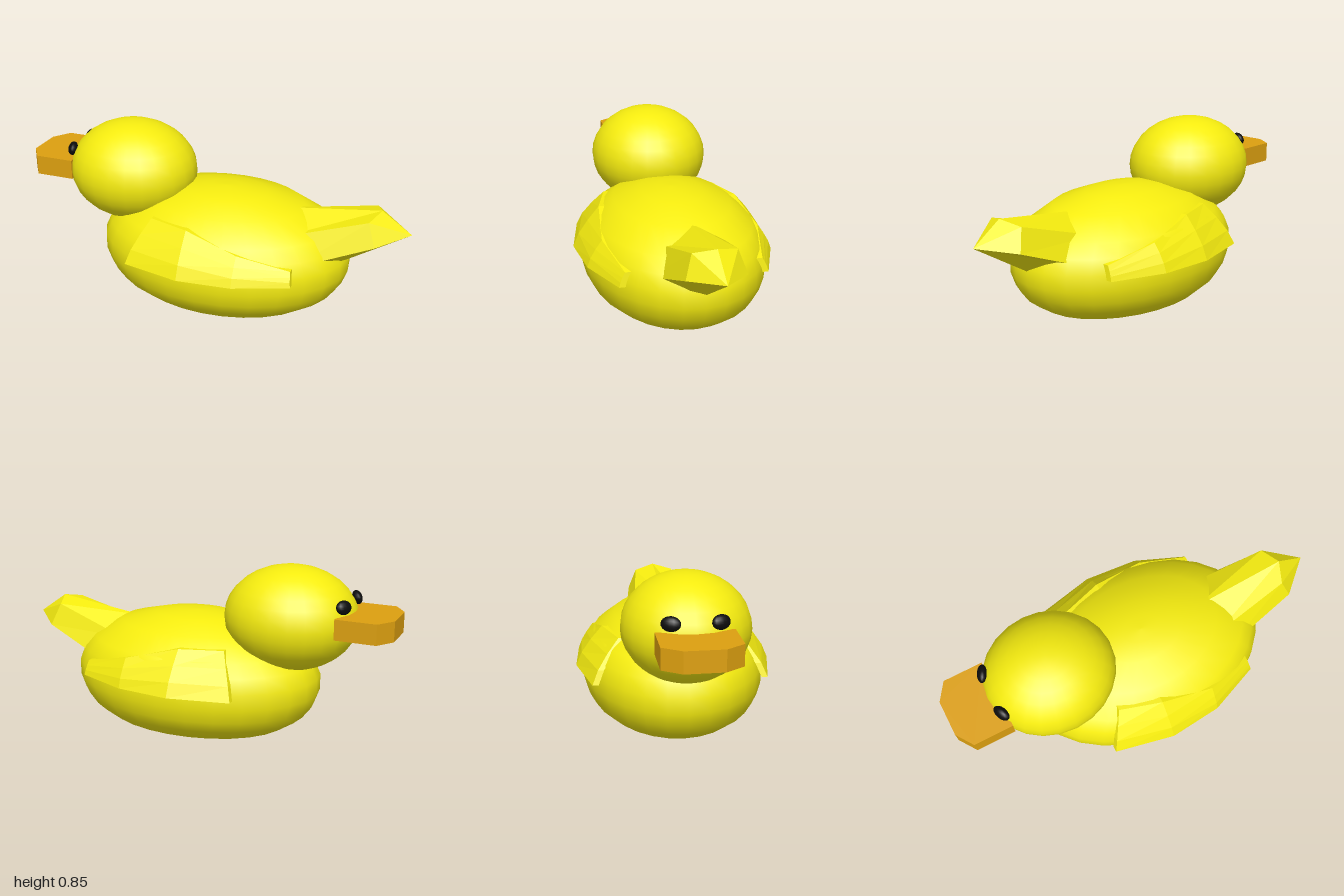
import * as THREE from 'three';

const mat = (color, flatShading = false) =>
  new THREE.MeshStandardMaterial({ color, flatShading, roughness: 0.6, side: THREE.DoubleSide });

function part(name, geometry, material, x = 0, y = 0, z = 0) {
  const mesh = new THREE.Mesh(geometry, material);
  mesh.name = name;
  mesh.position.set(x, y, z);
  return mesh;
}

// Oval lathe with a flat base and a dimple underneath
function bodyGeometry() {
  const profile = [
    [0, 0.09], [0.08, 0.075], [0.14, 0.035], [0.22, 0.01], [0.45, 0.003], [0.6, 0.007], [0.75, 0.02],
    [0.89, 0.08], [0.96, 0.14], [1, 0.21], [1, 0.29], [0.95, 0.36], [0.86, 0.425],
    [0.63, 0.513], [0.34, 0.562], [0.15, 0.577], [0, 0.58],
  ].map(([r, y]) => new THREE.Vector2(r, y));
  return new THREE.LatheGeometry(profile, 28).scale(0.65, 1, 0.46);
}

// Thin bent shell: a segmented box whose vertices follow four stations along the side
function wingGeometry(side) {
  const xs = [-0.33, -0.03, 0.24, 0.5];
  const tops = [0.475, 0.475, 0.405, 0.34];
  const lows = [0.43, 0.495, 0.47, 0.365];
  const geometry = new THREE.BoxGeometry(1, 1, 1, 3, 3, 1);
  const p = geometry.attributes.position;
  for (let i = 0; i < p.count; i++) {
    const s = Math.round((p.getX(i) + 0.5) * 3);
    const y = 0.27 + (p.getY(i) + 0.5) * (tops[s] - 0.27);
    const d = (y - 0.27) / 0.205;
    const x = xs[s] + (s === 0 ? 0.09 * d ** 1.3 : 0) - (s === 3 ? 0.03 * d : 0);
    const inner = p.getZ(i) * side < 0 ? 0.03 : 0;
    p.setXYZ(i, x, y, side * (lows[s] - 0.135 * d ** 1.4 - inner));
  }
  geometry.computeVertexNormals();
  return geometry;
}

// Loft from a ring inside the body to the tail end, closed by a folded cap
function tailGeometry() {
  const root = [[0.36, 0.508, 0], [0.4, 0.425, 0.155], [0.46, 0.288, 0.21], [0.5, 0.163, 0]];
  const end = [[0.84, 0.57, 0], [0.8, 0.545, 0.105], [0.84, 0.435, 0.142], [0.99, 0.465, 0]];
  const ring = (h) => [...h, ...[h[2], h[1]].map(([x, y, z]) => [x, y, -z])];
  const geometry = new THREE.BufferGeometry();
  geometry.setAttribute('position',
    new THREE.Float32BufferAttribute([...ring(root), ...ring(end)].flat(), 3));
  const index = [];
  for (let i = 0; i < 6; i++) {
    const j = (i + 1) % 6;
    index.push(i, j, i + 6, j, j + 6, i + 6);
  }
  for (const k of [4, 5, 6, 7]) index.push(9, 6 + (k % 6), 6 + ((k + 1) % 6));
  geometry.setIndex(index);
  geometry.computeVertexNormals();
  return geometry;
}

// Flat bill with a chamfered tip
function beakGeometry() {
  const outline = [[-0.74, -0.178], [-0.94, -0.178], [-1, -0.09], [-1, 0.09], [-0.94, 0.178], [-0.74, 0.178]];
  const shape = new THREE.Shape(outline.map(([x, z]) => new THREE.Vector2(x, z)));
  return new THREE.ExtrudeGeometry(shape, { depth: 0.1, bevelEnabled: false }).rotateX(-Math.PI / 2);
}

export function createModel() {
  const duck = new THREE.Group();
  duck.name = 'duck';
  const yellow = mat(0xf5ec0f);
  const yellowFlat = mat(0xf5ec0f, true);
  const orange = mat(0xdda010, true);
  const black = mat(0x0c0c0c);

  duck.add(part('body', bodyGeometry(), yellow, 0.04));
  duck.add(part('head', new THREE.SphereGeometry(1, 24, 16).scale(0.333, 0.257, 0.305), yellow, -0.468, 0.598));
  duck.add(part('tail', tailGeometry(), yellowFlat));
  duck.add(part('beak', beakGeometry(), orange, 0, 0.56));

  // Paired wings and eyes
  for (const side of [1, -1]) {
    const label = side > 0 ? 'left' : 'right';
    duck.add(part(label + 'Wing', wingGeometry(side), yellowFlat));
    const eye = part(label + 'Eye', new THREE.SphereGeometry(1, 14, 10).scale(0.024, 0.034, 0.046),
      black, -0.762, 0.702, side * 0.11);
    eye.rotation.set(0, side * 0.42, -0.3);
    duck.add(eye);
  }
  return duck;
}
